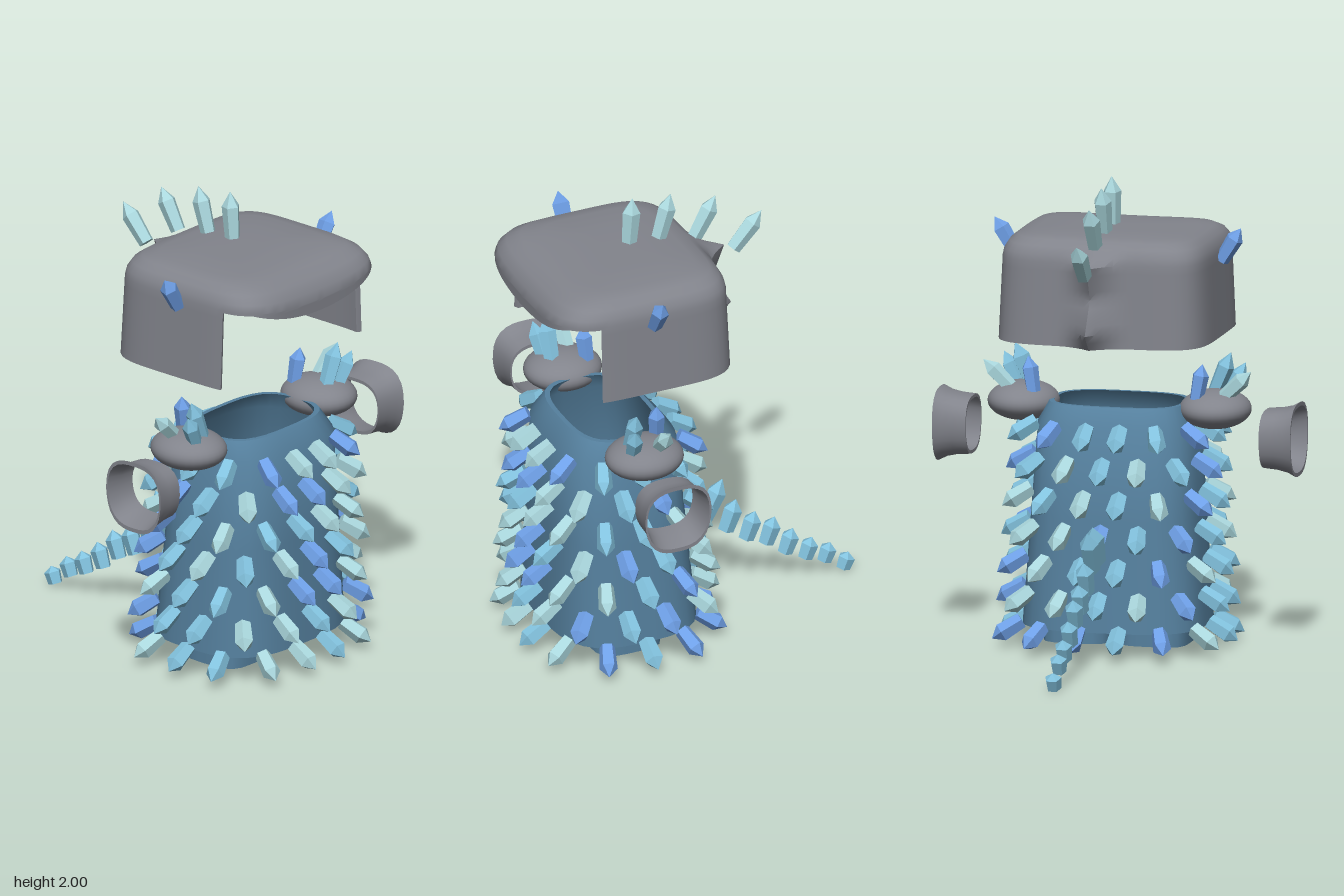
import * as THREE from 'three';
import { toCreasedNormals } from 'three/addons/utils/BufferGeometryUtils.js';

const mat = (name, color, side = THREE.FrontSide) => {
  const m = new THREE.MeshStandardMaterial({ color, side });
  m.name = name;
  return m;
};

// rounded-rectangle section as polar superellipse; phi = 0 is the back
const section = (phi, a, b, n) => {
  const s = Math.sin(phi), c = Math.cos(phi);
  const r = (Math.abs(s) ** n + Math.abs(c) ** n) ** (-1 / n);
  return [a * r * s, -b * r * c];
};

// piecewise-linear lookup in [[key, value], ...]
const lookup = (table, k) => {
  if (k <= table[0][0]) return table[0][1];
  for (let i = 1; i < table.length; i++) {
    const [k0, v0] = table[i - 1], [k1, v1] = table[i];
    if (k <= k1) return v0 + (v1 - v0) * (k - k0) / (k1 - k0);
  }
  return table[table.length - 1][1];
};

// surface from a grid of points
function grid(nu, nv, point, crease = 0.7) {
  const pos = [], index = [];
  for (let i = 0; i <= nu; i++) for (let j = 0; j <= nv; j++) pos.push(...point(i, j));
  for (let i = 0; i < nu; i++) for (let j = 0; j < nv; j++) {
    const a = i * (nv + 1) + j, b = a + nv + 1;
    index.push(a, a + 1, b, b, a + 1, b + 1);
  }
  const g = new THREE.BufferGeometry();
  g.setAttribute('position', new THREE.Float32BufferAttribute(pos, 3));
  g.setIndex(index);
  return toCreasedNormals(g, crease);
}

// flat-shaded five-sided crystal, unit length along +y, unit radius
function crystalGeometry() {
  const profile = [[0, 0], [0.85, 0], [1, 0.68], [0, 1]].map(p => new THREE.Vector2(...p));
  const g = new THREE.LatheGeometry(profile, 5).toNonIndexed();
  g.computeVertexNormals();
  return g;
}

export function createModel() {
  const model = new THREE.Group();
  model.name = 'spikedArmour';
  const grey = mat('armourGrey', 0x82848c, THREE.DoubleSide);
  const hide = mat('hideBlue', 0x55809e, THREE.DoubleSide);
  const sky = mat('crystalSky', 0x82c2de);
  const teal = mat('crystalTeal', 0xa9d6dc);
  const blue = mat('crystalBlue', 0x70a2ea);

  const add = (name, geometry, material, parent = model) => {
    const m = new THREE.Mesh(geometry, material);
    m.name = name;
    parent.add(m);
    return m;
  };
  const group = name => {
    const g = new THREE.Group();
    g.name = name;
    model.add(g);
    return g;
  };

  const crystalGeo = crystalGeometry();
  const up = new THREE.Vector3(0, 1, 0);
  const crystal = (name, base, tip, radius, material, parent) => {
    const b = new THREE.Vector3(...base), d = new THREE.Vector3(...tip).sub(b);
    const m = add(name, crystalGeo, material, parent);
    m.scale.set(radius, d.length(), radius);
    m.position.copy(b);
    m.quaternion.setFromUnitVectors(up, d.normalize());
  };

  // torso: open tapered tunic with a thin wall, drawn in at the neck
  const torsoPoint = (phi, y, inset = 0) => {
    const t = (y - 0.1) / 0.93;
    const neck = 0.06 * Math.max(0, (y - 0.95) / 0.08);
    const [x, z] = section(phi, 0.385 - 0.06 * t - inset - neck * 0.6, 0.318 - 0.06 * t - inset - neck, 3.1);
    return [x, y, z + 0.35 + 0.025 * t];
  };
  const torsoRows = [[1, 0], [0.915, 0], [0.5, 0], [0, 0], [0, 0.02], [0.5, 0.02], [0.915, 0.02], [1, 0.02], [1, 0]];
  add('torso', grid(40, torsoRows.length - 1, (i, j) => {
    const [t, inset] = torsoRows[j];
    return torsoPoint(i / 40 * Math.PI * 2, 0.1 + t * 0.93, inset);
  }), hide);

  // legs: short open tubes inside the hem
  const tubeRows = [[0, 0], [1, 0], [1, 1], [0, 1], [0, 0]];
  for (const [side, name] of [[1, 'leftLeg'], [-1, 'rightLeg']]) {
    add(name, grid(24, 4, (i, j) => {
      const [t, k] = tubeRows[j];
      const [x, z] = section(i / 24 * Math.PI * 2, 0.145 - 0.02 * k, 0.15 - 0.02 * k, 4);
      return [x + side * 0.162, 0.015 + 0.3 * t, z + 0.37];
    }), hide);
  }

  // rings of crystals over the torso, evenly spaced around its outline;
  // one letter per crystal from the back round by the left, bottom ring first
  const rings = group('torsoCrystals');
  const colours = { s: sky, t: teal, b: blue };
  const patterns = ['bbbsbtsttsstbs', 'sttbsbtsttssbt', 'stbsttbbtsstbs', 'bttsbtsbtstsbs',
    'tstssttsstsbts', 'stsbsttbbtsbst', 'sbsssbttbssbss'];
  const samples = 720;
  patterns.forEach((pattern, row) => {
    const y = 0.11 + 0.14 * row;
    const pts = [], run = [0];
    for (let i = 0; i <= samples; i++) {
      pts.push(torsoPoint(i / samples * Math.PI * 2, Math.min(y, 0.95)));
      if (i) run.push(run[i - 1] + Math.hypot(pts[i][0] - pts[i - 1][0], pts[i][2] - pts[i - 1][2]));
    }
    [...pattern].forEach((letter, k) => {
      const target = (k + (row % 2 ? 0 : 0.5)) / pattern.length * run[samples];
      const i = run.findIndex(r => r >= target);
      const p = pts[i], q = pts[(i + 1) % samples], o = pts[(i - 1 + samples) % samples];
      const n = new THREE.Vector3(o[2] - q[2], 0, q[0] - o[0]).normalize();
      if (n.x * p[0] + n.z * (p[2] - 0.36) < 0) n.negate();
      const base = [p[0] + n.x * 0.005, y, p[2] + n.z * 0.005];
      const tip = [p[0] + n.x * 0.13, y - 0.075, p[2] + n.z * 0.13];
      crystal('torsoCrystal', base, tip, 0.04, colours[letter], rings);
    });
  });

  // tail: crystals shrinking towards the tip, [z, y, height]
  const tail = group('tail');
  [[-0.04, 0.49, 0.16], [-0.13, 0.475, 0.17], [-0.21, 0.38, 0.135], [-0.3, 0.31, 0.12], [-0.39, 0.265, 0.115],
    [-0.475, 0.195, 0.105], [-0.565, 0.14, 0.09], [-0.65, 0.1, 0.08], [-0.735, 0.04, 0.07]].forEach(([z, y, h], i) => {
    const lean = h * (i < 2 ? 0.25 : 0.18);
    crystal('tailCrystal', [0, y - h / 2, z + lean], [0, y + h / 2, z - lean], 0.043 - i * 0.0008, sky, tail);
  });

  // helmet: thin shell, open face, overhanging brim and a pointed ridge down the back
  const dome = [[1, 1.68], [0.985, 1.71], [0.94, 1.742], [0.86, 1.765], [0.72, 1.776], [0.4, 1.78], [0, 1.78]];
  const ridge = [[1.33, 0.07], [1.4, 0.14], [1.54, 0.06], [1.68, 0.12], [1.71, 0.05], [1.745, 0]];
  const wallRows = 10;
  const outer = [];
  for (let r = 0; r < wallRows; r++) outer.push({ t: r / wallRows });
  dome.forEach(([s, y]) => outer.push({ s, y }));
  const rows = [...outer.map(p => ({ ...p, inner: true })).reverse(), ...outer];
  // columns from the back round; the two face edges are doubled for the step in the rim
  const faceEdge = Math.PI - Math.atan(0.435 / 0.262);
  const columns = [];
  const span = (from, to, count, face) => {
    for (let i = 0; i <= count; i++) columns.push({ phi: from + (to - from) * i / count, face });
  };
  span(0, faceEdge, 32, false);
  span(faceEdge, 2 * Math.PI - faceEdge, 32, true);
  span(2 * Math.PI - faceEdge, 2 * Math.PI, 32, false);
  add('helmet', grid(columns.length - 1, rows.length - 1, (i, j) => {
    const { phi, face } = columns[i], { t, s = 1, y: domeY, inner } = rows[j];
    let [x, z] = section(phi, 0.438, 0.4, 5);
    const k = Math.min(1, Math.abs(x) / 0.38) ** 2;
    const dip = 0.03 * Math.max(0, z / 0.4) ** 2 * (1 - k);
    const rim = face ? 1.6 + 0.07 * k : 1.33;
    let y = domeY ? domeY - dip * (1.78 - domeY) / 0.1 : rim + t * (1.68 - dip - rim);
    const thin = inner ? 0.955 : 1;
    const flare = s * (1 + 0.035 * Math.max(0, (1.68 - y) / 0.35)) * thin;
    const bump = Math.max(0, 1 - Math.abs(x) / 0.16) ** 2;
    x *= flare;
    z *= z < 0 ? flare : s * s * thin;
    if (Math.cos(phi) > 0) z -= bump * lookup(ridge, y);
    if (inner && domeY) y -= 0.02 * (domeY - 1.68) / 0.1;
    return [x, y, z + 0.34];
  }), grey);

  // crest along the top of the helmet, [base z, base y, tip z, tip y]
  const crest = group('crest');
  [[0.255, 1.8, 0.24, 2], [0.12, 1.79, 0.065, 1.98], [-0.045, 1.755, -0.14, 1.925], [-0.22, 1.655, -0.35, 1.805]]
    .forEach(([z0, y0, z1, y1]) => crystal('crestCrystal', [0, y0, z0], [0, y1, z1], 0.039, teal, crest));

  // paired parts
  const pad = new THREE.SphereGeometry(1, 32, 20);
  const cuffRows = [[0.63, 0.122], [0.69, 0.127], [0.735, 0.137], [0.77, 0.155], [0.77, 0.138], [0.7, 0.115], [0.63, 0.108], [0.63, 0.122]];
  for (const [side, word] of [[1, 'left'], [-1, 'right']]) {
    const shoulder = group(word + 'Shoulder');
    const m = add('shoulderPad', pad, grey, shoulder);
    m.scale.set(0.15, 0.082, 0.168);
    m.position.set(side * 0.412, 1.01, 0.372);
    const spike = (name, b, t, r, c, parent) =>
      crystal(name, [side * b[0], b[1], b[2]], [side * t[0], t[1], t[2]], r, c, parent);
    spike('shoulderCrystal', [0.39, 1.06, 0.43], [0.465, 1.24, 0.43], 0.038, sky, shoulder);
    spike('shoulderCrystal', [0.35, 1.06, 0.29], [0.375, 1.21, 0.3], 0.036, blue, shoulder);
    spike('shoulderCrystal', [0.45, 1.06, 0.33], [0.575, 1.18, 0.33], 0.036, teal, shoulder);
    spike('shoulderCrystal', [0.44, 1.04, 0.44], [0.52, 1.195, 0.46], 0.036, sky, shoulder);
    spike('helmetSideCrystal', [0.445, 1.645, 0.34], [0.53, 1.785, 0.34], 0.038, blue, model);

    // cuff: flared ring, flatter on top and rounder below
    add(word + 'Cuff', grid(32, cuffRows.length - 1, (i, j) => {
      const [x, r] = cuffRows[j];
      const [z, v] = section(i / 32 * Math.PI * 2, 1, 1, 2.8);
      const narrow = v < 0 ? 1 + 0.1 * v : 1;
      return [side * x, 0.895 + v * r, 0.378 + z * (r * 0.5 + 0.073) * narrow];
    }), grey);
  }

  return model;
}
